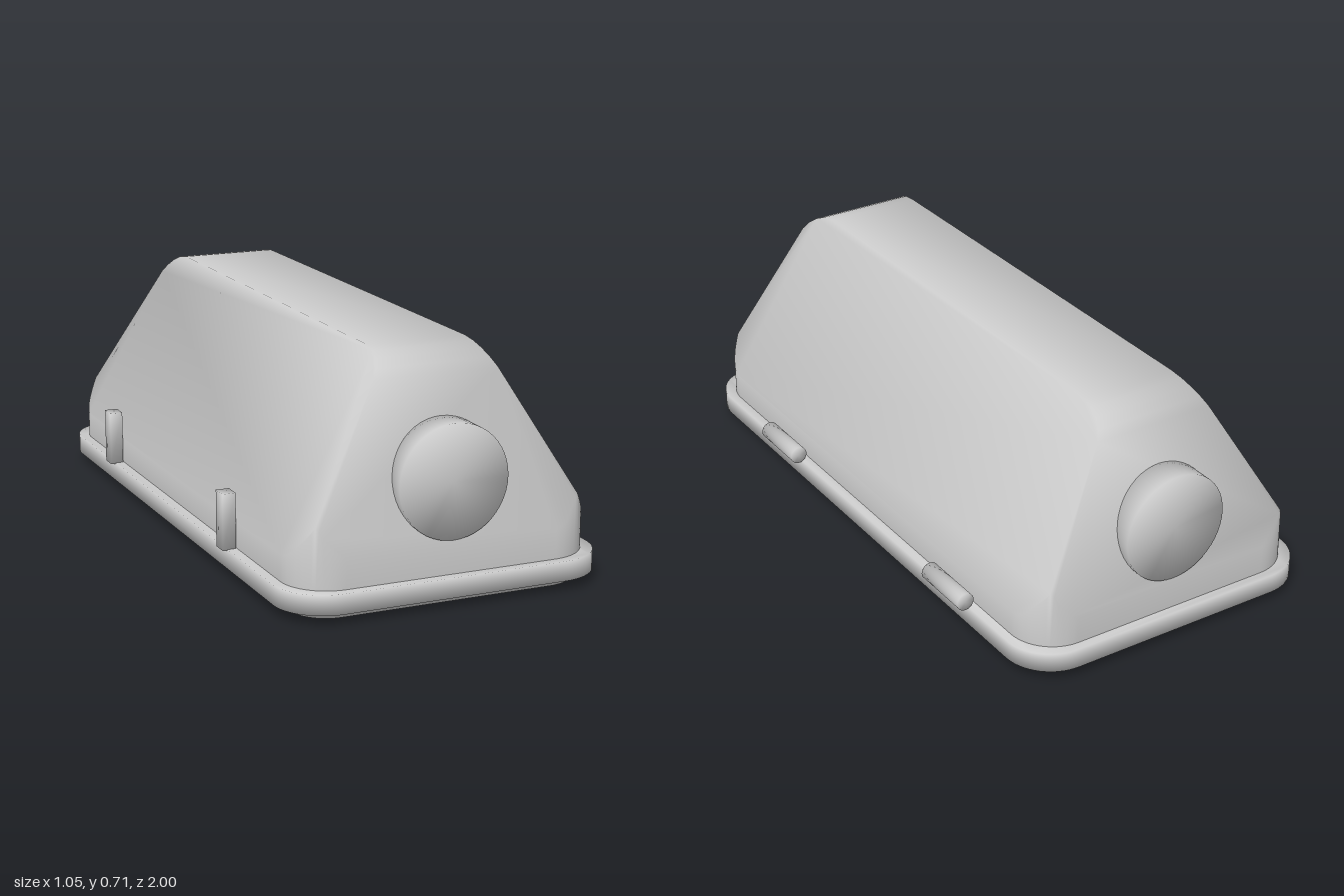
import * as THREE from 'three';
import { mergeGeometries, mergeVertices } from 'three/addons/utils/BufferGeometryUtils.js';
import { ConvexGeometry } from 'three/addons/geometries/ConvexGeometry.js';

const CX = -0.014;      // centre line of housing and flange
const OPENING = 0.38;   // half width of each square opening
const RIM = 0.442;      // half width of the rim around it

// Rounded rectangle outline centred on x = 0 at height cy
function roundedRect(hw, hh, r, cy = 0, Type = THREE.Shape) {
  const s = new Type();
  s.absarc(hw - r, cy + hh - r, r, 0, Math.PI / 2);
  s.absarc(-hw + r, cy + hh - r, r, Math.PI / 2, Math.PI);
  s.absarc(-hw + r, cy - hh + r, r, Math.PI, Math.PI * 1.5);
  s.absarc(hw - r, cy - hh + r, r, Math.PI * 1.5, Math.PI * 2);
  s.closePath();
  return s;
}

// Upright extrusion of a plan outline
function slab(shape, y0, y1) {
  return new THREE.ExtrudeGeometry(shape, { depth: y1 - y0, bevelEnabled: false, curveSegments: 8 })
    .rotateX(-Math.PI / 2).translate(0, y0, 0);
}

// Keep only the triangles whose bounding box passes the test
function keepFaces(geo, test) {
  const p = geo.attributes.position;
  const kept = [];
  for (let i = 0; i < p.count; i += 3) {
    const v = [0, 1, 2].map(k => new THREE.Vector3().fromBufferAttribute(p, i + k));
    const box = new THREE.Box3().setFromPoints(v);
    if (test(box.min, box.max)) v.forEach(q => kept.push(q.x, q.y, q.z));
  }
  return new THREE.BufferGeometry().setAttribute('position', new THREE.Float32BufferAttribute(kept, 3));
}

// Shared normals across all edges, each face weighted by its corner angle
function smooth(geo) {
  geo.deleteAttribute('uv');
  geo.deleteAttribute('normal');
  const g = mergeVertices(geo, 1e-4);
  const p = g.attributes.position;
  const sums = Array.from({ length: p.count }, () => new THREE.Vector3());
  const normal = new THREE.Vector3();
  for (let i = 0; i < g.index.count; i += 3) {
    const ids = [0, 1, 2].map(k => g.index.getX(i + k));
    const v = ids.map(id => new THREE.Vector3().fromBufferAttribute(p, id));
    new THREE.Triangle(...v).getNormal(normal);
    ids.forEach((id, k) => {
      const a = v[(k + 1) % 3].clone().sub(v[k]);
      const b = v[(k + 2) % 3].clone().sub(v[k]);
      sums[id].addScaledVector(normal, a.angleTo(b));
    });
  }
  const normals = sums.flatMap(n => n.normalize().toArray());
  return g.setAttribute('normal', new THREE.Float32BufferAttribute(normals, 3));
}

// Housing: rounded prism cut by sloping sides and sloping ends, open below
function housingGeometry() {
  const slope = (0.47 - 0.155) / (0.715 - 0.17);
  const sideY = x => 0.17 + (0.47 - Math.abs(x)) / slope;
  const endY = z => 0.18 + (0.97 - Math.abs(z)) * (0.645 - 0.18) / 0.12;
  const points = [];
  for (const v of roundedRect(0.47, 0.97, 0.14).getPoints(10)) {
    points.push(new THREE.Vector3(v.x, 0.08, v.y));
    points.push(new THREE.Vector3(v.x, Math.min(sideY(v.x), endY(v.y)), v.y));
  }
  // Rounded shoulders of the ridge
  for (const [z, y] of [[0.85, 0.645], [0.83, 0.671], [0.8, 0.693], [0.765, 0.708], [0.72, 0.715]]) {
    const x = 0.155 + (0.715 - y) * slope;
    for (const sx of [-1, 1]) for (const sz of [-1, 1]) points.push(new THREE.Vector3(sx * x, y, sz * z));
  }
  return keepFaces(new ConvexGeometry(points), (min, max) => max.y > 0.081);
}

// Flange and the two rims under it, joined into one skin
function flangeGeometry() {
  const plate = roundedRect(0.499, 1, 0.15);
  const rims = [-0.5, 0.5].map(z => {
    plate.holes.push(roundedRect(RIM, RIM, 0.11, z, THREE.Path));
    const rim = roundedRect(RIM, RIM, 0.11, z);
    rim.holes.push(roundedRect(OPENING, OPENING, 0.08, z, THREE.Path));
    return keepFaces(slab(rim, 0, 0.03), min => min.y < 0.02);
  });
  const skin = keepFaces(slab(plate, 0.03, 0.09), (min, max) =>
    max.y - min.y < 0.01 || max.x > 0.45 || min.x < -0.45 || max.z > 0.95 || min.z < -0.95);
  return mergeGeometries([skin, ...rims]);
}

// Slightly tapered pocket above an opening, open below
function pocketGeometry() {
  const pocket = keepFaces(slab(roundedRect(OPENING, OPENING, 0.08), 0.03, 0.335), (min, max) => max.y > 0.1);
  const p = pocket.attributes.position;
  for (let i = 0; i < p.count; i++) {
    const k = p.getY(i) > 0.1 ? 0.96 : 1;
    p.setXYZ(i, p.getX(i) * k, p.getY(i), p.getZ(i) * k);
  }
  return pocket;
}

export function createModel() {
  const model = new THREE.Group();
  const grey = new THREE.MeshStandardMaterial({ color: 0xcccccc });
  const open = new THREE.MeshStandardMaterial({ color: 0xcccccc, side: THREE.DoubleSide });
  const add = (name, geo, x, y, z, mat = grey) => {
    const mesh = new THREE.Mesh(smooth(geo), mat);
    mesh.name = name;
    mesh.position.set(x, y, z);
    model.add(mesh);
  };

  add('housing', housingGeometry(), CX, 0, 0, open);
  add('flange', flangeGeometry(), CX, 0, 0, open);

  for (const s of [-1, 1]) {
    add('pocket', pocketGeometry(), CX, 0, s * 0.5, open);
    // Round boss on each sloping end
    add('endBoss', new THREE.CylinderGeometry(0.17, 0.17, 0.1, 48).rotateX(Math.PI / 2), CX, 0.36, s * 0.92);
  }

  // Hinge barrels on the left side
  for (const z of [0.443, -0.557]) {
    add('hingeBarrel', new THREE.CylinderGeometry(0.028, 0.028, 0.197, 24).rotateX(Math.PI / 2), 0.498, 0.116, z);
  }

  // Upright latch tabs on the right side
  for (const z of [0.482, -0.518]) {
    add('latchTab', new THREE.BoxGeometry(0.041, 0.172, 0.053), -0.507, 0.173, z);
  }
  return model;
}
